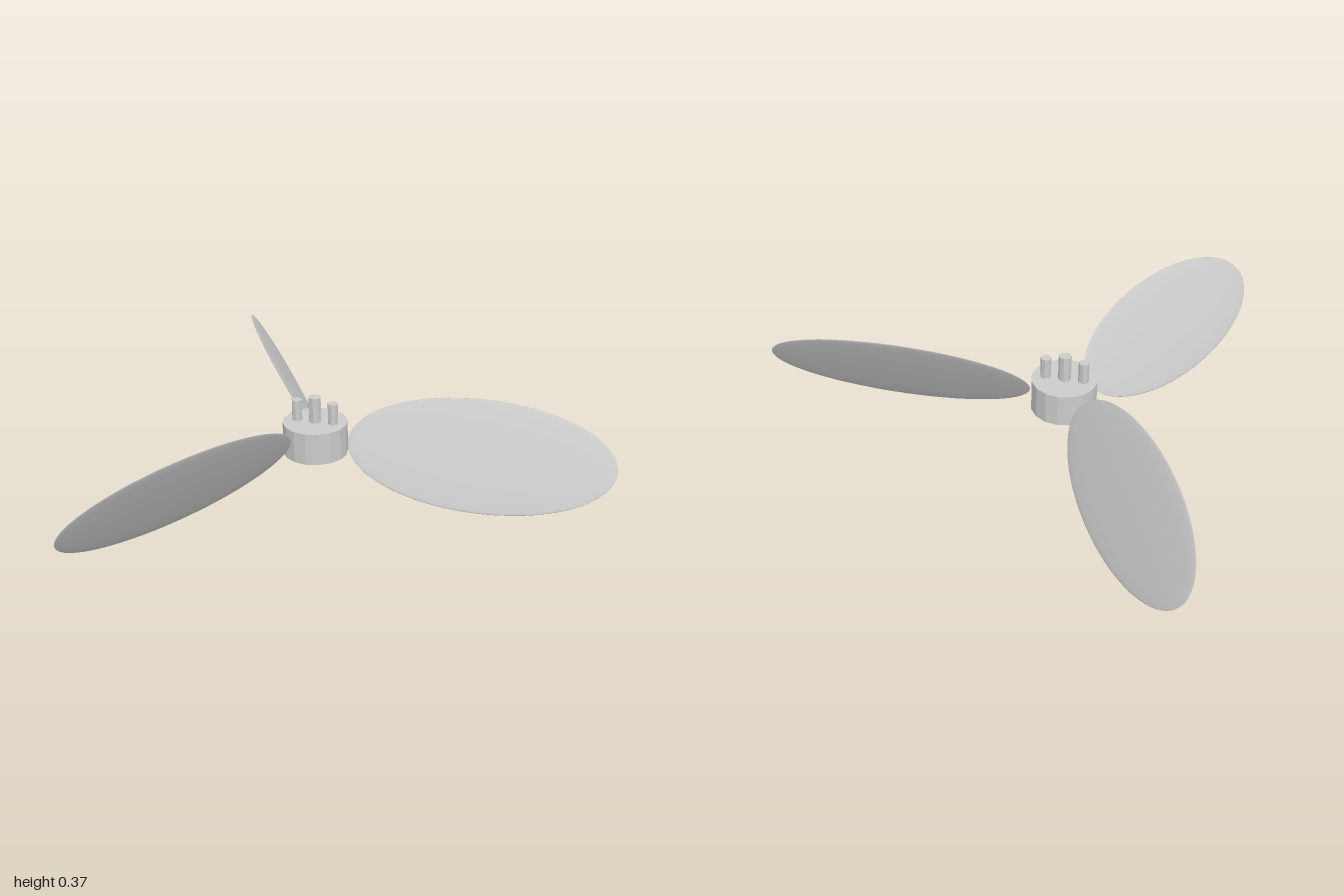
import * as THREE from 'three';

export function createModel() {
  const model = new THREE.Group();
  const material = new THREE.MeshStandardMaterial({ color: 0xcccccc });
  const flat = new THREE.MeshStandardMaterial({ color: 0xcccccc, flatShading: true });

  // Rotor group sits on the hub axis
  const rotor = new THREE.Group();
  rotor.name = 'rotor';
  rotor.position.set(-0.28, 0.1875, 0);
  model.add(rotor);

  function addCylinder(name, radius, bottom, top, x, sides) {
    const mesh = new THREE.Mesh(new THREE.CylinderGeometry(radius, radius, top - bottom, sides), flat);
    mesh.name = name;
    mesh.position.set(x, (bottom + top) / 2, 0);
    rotor.add(mesh);
  }

  // Hub with a tall centre pin and two shorter side pins
  addCylinder('hub', 0.123, -0.0625, 0.0625, 0, 16);
  addCylinder('centrePin', 0.024, 0.0625, 0.163, 0, 8);
  for (const side of [-1, 1]) addCylinder('sidePin', 0.02, 0.0625, 0.144, side * 0.071, 8);

  // Three thin elliptical blades, pitched by 60 degrees
  const bladeGeometry = new THREE.SphereGeometry(1, 48, 32);
  bladeGeometry.rotateZ(-Math.PI / 2);
  bladeGeometry.scale(0.508, 0.01, 0.211);
  bladeGeometry.rotateX(Math.PI / 3);
  bladeGeometry.translate(0.637, 0, 0);
  for (let i = 0; i < 3; i++) {
    const blade = new THREE.Mesh(bladeGeometry, material);
    blade.name = 'blade';
    blade.rotation.y = (i * Math.PI * 2) / 3;
    rotor.add(blade);
  }

  return model;
}
